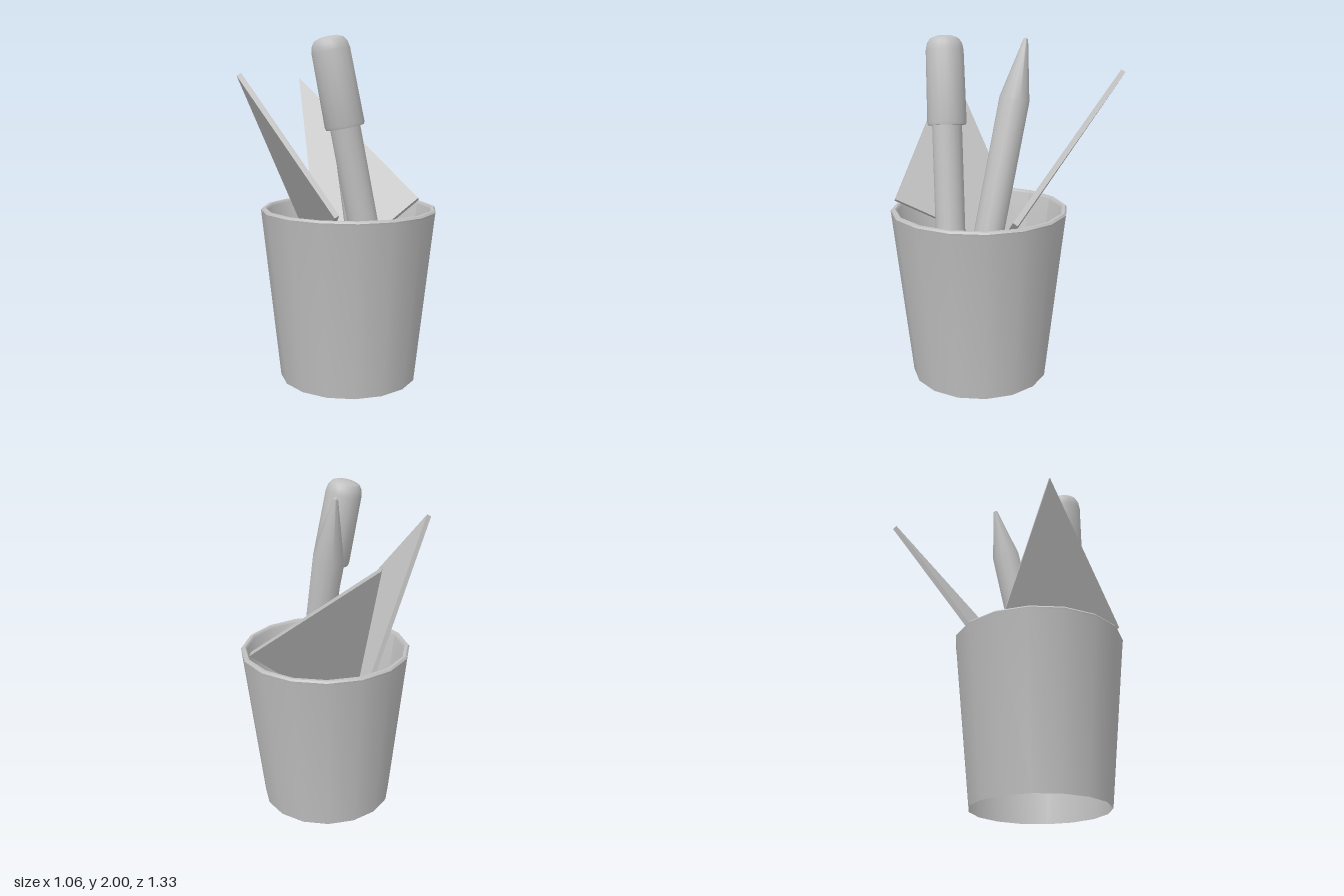
import * as THREE from 'three';
import { toCreasedNormals } from 'three/addons/utils/BufferGeometryUtils.js';

const grey = new THREE.MeshStandardMaterial({ color: 0xc0c0c0, side: THREE.DoubleSide });
grey.name = 'grey';

// Turned part from a [radius, height] profile, with sharp edges kept
function turned(name, profile, sides) {
  const points = profile.map(([r, y]) => new THREE.Vector2(r, y));
  const geometry = toCreasedNormals(new THREE.LatheGeometry(points, sides), 0.6);
  const mesh = new THREE.Mesh(geometry, grey);
  mesh.name = name;
  return mesh;
}

// Stands an object on its lower end and leans it towards its upper end
function lean(object, bottom, top) {
  const start = new THREE.Vector3(...bottom);
  const direction = new THREE.Vector3(...top).sub(start).normalize();
  object.position.copy(start);
  object.quaternion.setFromUnitVectors(new THREE.Vector3(0, 1, 0), direction);
  return object;
}

// Right-angled triangular plate: square corner and the two other corners
function setSquare(name, corner, a, b) {
  const origin = new THREE.Vector3(...corner);
  const u = new THREE.Vector3(...a).sub(origin);
  const v = new THREE.Vector3(...b).sub(origin);
  const thickness = 0.03;
  const shape = new THREE.Shape();
  shape.moveTo(0, 0);
  shape.lineTo(u.length(), 0);
  shape.lineTo(0, v.length());
  shape.closePath();
  const geometry = new THREE.ExtrudeGeometry(shape, { depth: thickness, bevelEnabled: false });
  geometry.translate(0, 0, -thickness / 2);
  u.normalize();
  const w = new THREE.Vector3().crossVectors(u, v).normalize();
  v.crossVectors(w, u);
  const mesh = new THREE.Mesh(geometry, grey);
  mesh.name = name;
  mesh.quaternion.setFromRotationMatrix(new THREE.Matrix4().makeBasis(u, v, w));
  mesh.position.copy(origin);
  return mesh;
}

export function createModel() {
  const model = new THREE.Group();
  model.name = 'penHolder';

  // Tapered cup: outer wall, rounded rim, then inner wall, open underneath
  const cup = turned('cup', [
    [0.405, 0], [0.512, 0.995], [0.515, 1.01], [0.506, 1.021],
    [0.488, 1.021], [0.479, 1.01], [0.365, 0.24],
  ], 16);
  cup.position.set(0.015, 0, 0.15);
  model.add(cup);

  // Marker: barrel and wider cap with a rounded end
  const marker = new THREE.Group();
  marker.name = 'marker';
  marker.add(turned('markerBarrel', [[0, 0], [0.085, 0], [0.085, 1.3]], 16));
  marker.add(turned('markerCap', [
    [0.08, 1.27], [0.108, 1.27], [0.112, 1.285], [0.107, 1.69],
    [0.099, 1.73], [0.082, 1.755], [0.05, 1.768], [0, 1.772],
  ], 16));
  model.add(lean(marker, [0.04, 0.25, 0.41], [-0.21, 1.99, 0.185]));

  // Pencil with a long sharpened point
  const pencil = turned('pencil', [
    [0, 0], [0.087, 0], [0.087, 1.43], [0.013, 1.77], [0, 1.777],
  ], 12);
  model.add(lean(pencil, [0.062, 0.25, 0.31], [0.165, 1.98, -0.085]));

  // Two set squares leaning out of the cup
  model.add(setSquare('leftSetSquare', [0.44, 1.04, 0.355], [0.465, 1.775, -0.66], [-0.06, 0.55, 0.03]));
  model.add(setSquare('rightSetSquare', [-0.41, 1.045, 0.42], [-0.522, 1.785, -0.192], [0.16, 0.63, -0.225]));

  return model;
}
